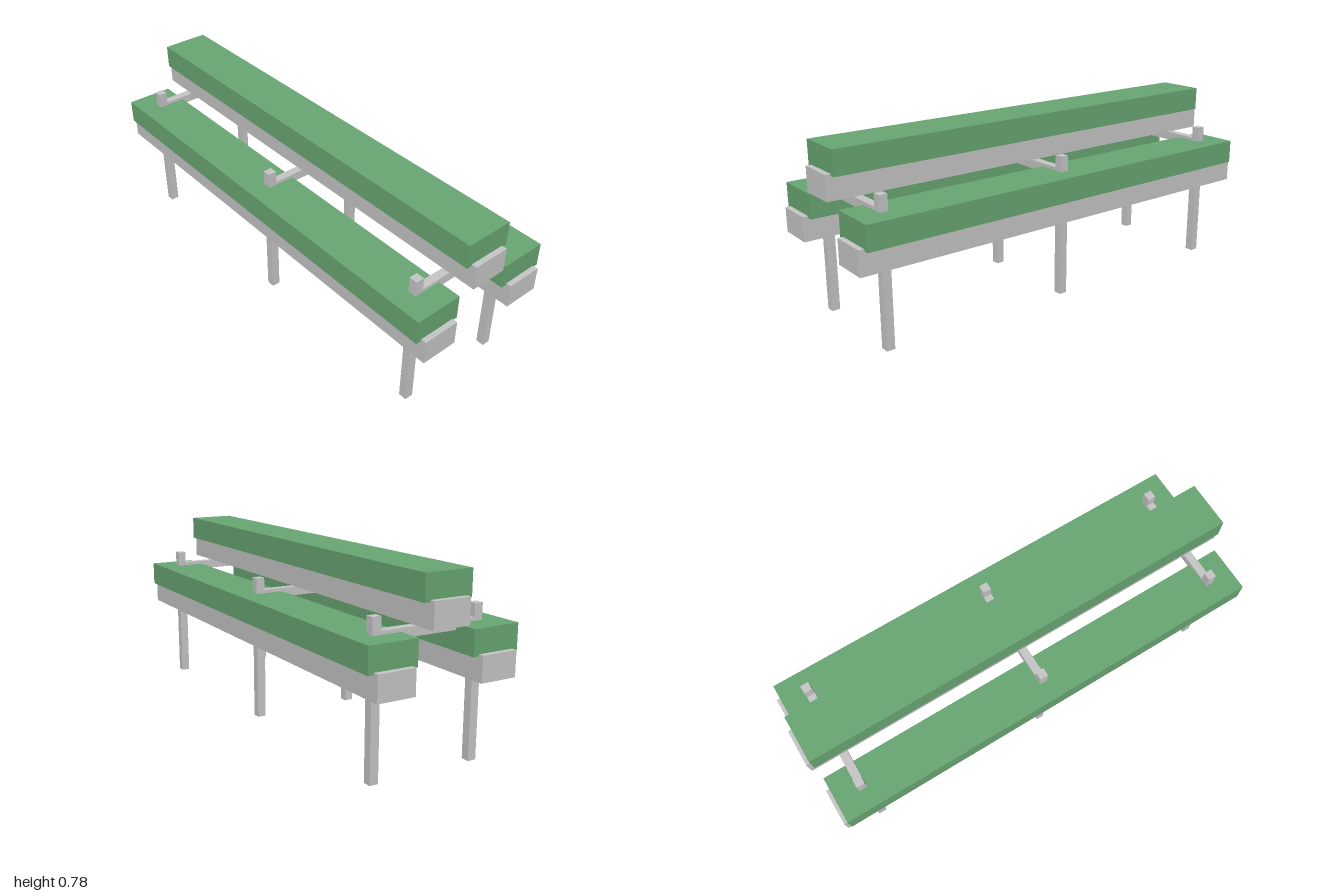
import * as THREE from 'three';

export function createModel() {
  const model = new THREE.Group();
  model.name = 'plantingTroughRack';

  const foliage = new THREE.MeshStandardMaterial({ color: 0x6aa874 });
  foliage.name = 'foliage green';
  const frame = new THREE.MeshStandardMaterial({ color: 0xc8c8c8 });
  frame.name = 'light grey';

  // Box with its bottom face resting at height y
  function addBox(parent, name, material, [w, h, d], [x, y, z]) {
    const mesh = new THREE.Mesh(new THREE.BoxGeometry(w, h, d), material);
    mesh.name = name;
    mesh.position.set(x, y + h / 2, z);
    parent.add(mesh);
  }

  // A long trough with a wider block of planting set slightly into its top
  function addPlanter(name, y, z) {
    const planter = new THREE.Group();
    planter.name = name;
    planter.position.set(0, y, z);
    addBox(planter, 'trough', frame, [2, 0.104, 0.161], [0, 0, 0]);
    addBox(planter, 'planting', foliage, [1.954, 0.104, 0.209], [0, 0.096, 0]);
    model.add(planter);
  }
  addPlanter('frontPlanter', 0.353, 0.229);
  addPlanter('backPlanter', 0.353, -0.229);
  addPlanter('upperPlanter', 0.576, 0);

  // Three support frames: a pair of posts joined by a crossbar
  for (const x of [-0.859, 0, 0.859]) {
    const support = new THREE.Group();
    support.name = 'supportFrame';
    support.position.x = x;
    for (const side of [1, -1]) {
      addBox(support, side > 0 ? 'frontPost' : 'backPost', frame, [0.036, 0.62, 0.037], [0, 0, side * 0.229]);
    }
    addBox(support, 'crossbar', frame, [0.036, 0.038, 0.421], [0, 0.529, 0]);
    model.add(support);
  }

  return model;
}
